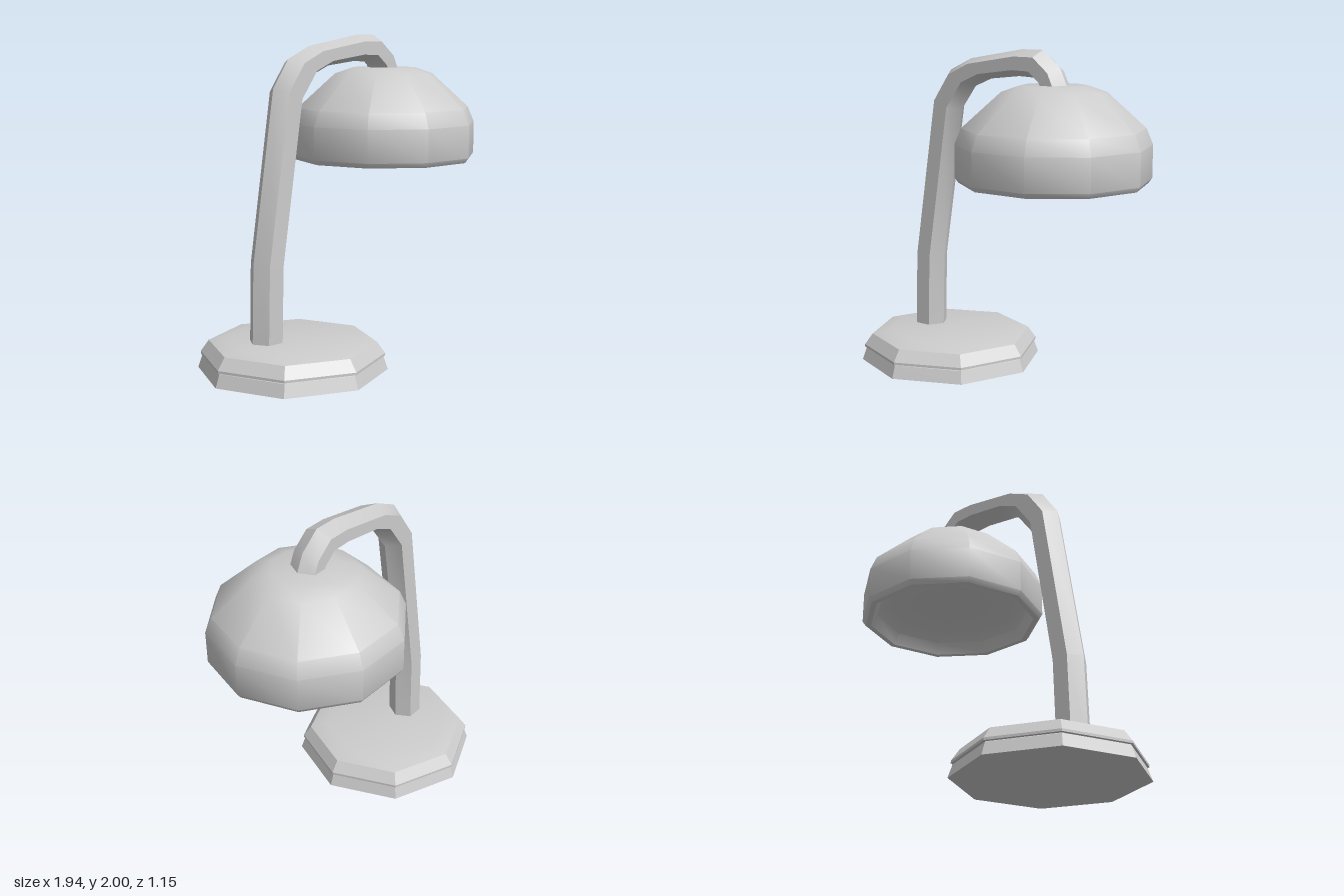
import * as THREE from 'three';
import { toCreasedNormals } from 'three/addons/utils/BufferGeometryUtils.js';

const material = new THREE.MeshStandardMaterial({ color: 0xcccccc });

// Faceted turned part: profile is [radius, y] from the underside outward and up
function turned(name, profile, sides, x, z, crease) {
  const points = profile.map(([r, y]) => new THREE.Vector2(r, y));
  const geometry = new THREE.LatheGeometry(points, sides, Math.PI / 2);
  const mesh = new THREE.Mesh(toCreasedNormals(geometry, crease), material);
  mesh.name = name;
  mesh.position.set(x, 0, z);
  return mesh;
}

// Hexagonal bar: each station is [outer x, outer y, inner x, inner y]
function hexArm(stations, halfDepth, z) {
  const positions = [], index = [];
  stations.forEach(([ox, oy, ix, iy], i) => {
    for (let k = 0; k < 6; k++) {
      const a = k * Math.PI / 3, t = Math.cos(a) / 2;
      positions.push(
        (ox + ix) / 2 + (ox - ix) * t,
        (oy + iy) / 2 + (oy - iy) * t,
        z + halfDepth * Math.sin(a) / Math.sin(Math.PI / 3));
      if (i < stations.length - 1) {
        const p = i * 6 + k, q = i * 6 + (k + 1) % 6;
        index.push(p, q, p + 6, q, q + 6, p + 6);
      }
    }
  });
  const geometry = new THREE.BufferGeometry();
  geometry.setAttribute('position', new THREE.Float32BufferAttribute(positions, 3));
  geometry.setIndex(index);
  const mesh = new THREE.Mesh(toCreasedNormals(geometry, 0.6), material);
  mesh.name = 'arm';
  return mesh;
}

export function createModel() {
  const lamp = new THREE.Group();
  lamp.name = 'deskLamp';

  // Octagonal stepped foot with a shallow domed top
  lamp.add(turned('base', [
    [0, 0], [0.577, 0], [0.55, 0.078], [0.543, 0.083], [0.56, 0.085],
    [0.56, 0.1], [0.51, 0.17], [0.4, 0.197], [0, 0.197],
  ], 8, -0.395, 0, 0.5));

  // Bent arm rising from the foot and curling down into the shade
  lamp.add(hexArm([
    [-0.683, 0.17, -0.477, 0.17],
    [-0.67, 0.67, -0.465, 0.65],
    [-0.51, 1.69, -0.315, 1.61],
    [-0.395, 1.86, -0.2, 1.767],
    [-0.235, 1.935, -0.08, 1.817],
    [0.15, 2.0, 0.13, 1.84],
    [0.3, 2.0, 0.24, 1.835],
    [0.42, 1.9, 0.3, 1.785],
    [0.475, 1.78, 0.32, 1.74],
  ], 0.09, -0.023));

  // Ten-sided shade: inner disc, hollow, rim, then outer dome
  lamp.add(turned('shade', [
    [0, 1.34], [0.395, 1.34], [0.49, 1.29], [0.53, 1.22], [0.565, 1.22],
    [0.587, 1.25], [0.587, 1.45], [0.547, 1.545], [0.31, 1.76],
    [0.2, 1.797], [0, 1.797],
  ], 10, 0.385, -0.015, 0.66));

  return lamp;
}
